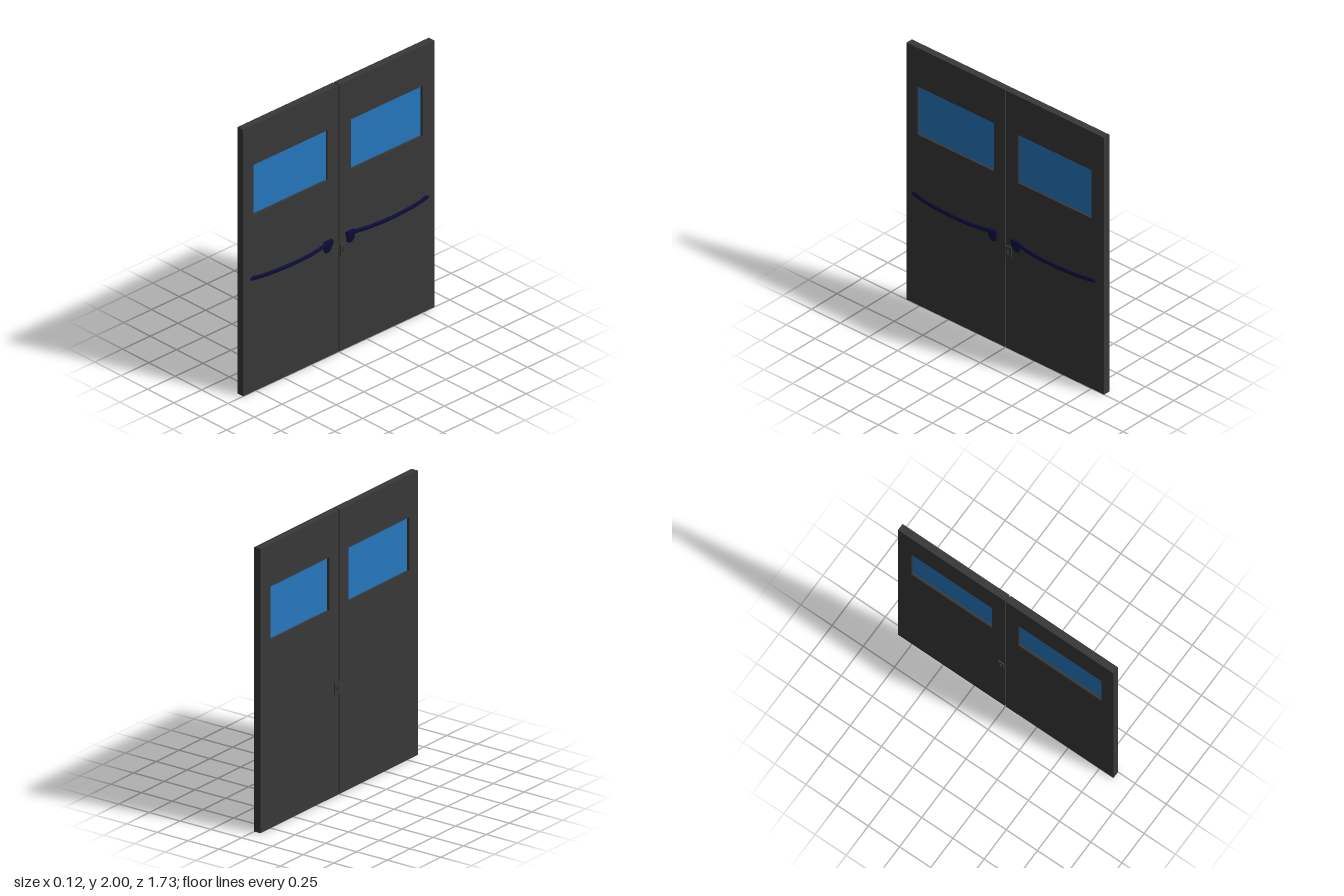
import * as THREE from 'three';

const doorMat = new THREE.MeshStandardMaterial({ color: 0x383838 });
doorMat.name = 'charcoal door';
const glassMat = new THREE.MeshStandardMaterial({ color: 0x2678bf });
glassMat.name = 'blue glass';
const handleMat = new THREE.MeshStandardMaterial({ color: 0x0c0c3c });
handleMat.name = 'navy handle';

const BACK = -0.052, THICK = 0.052;

// Rectangle outline in (-z, y)
function rect(Kind, z0, z1, y0, y1) {
  const p = new Kind();
  p.moveTo(-z1, y0);
  p.lineTo(-z0, y0);
  p.lineTo(-z0, y1);
  p.lineTo(-z1, y1);
  p.closePath();
  return p;
}

// Extrude a (-z, y) outline along +x
function slab(name, shape, x0, depth, mat) {
  const geo = new THREE.ExtrudeGeometry(shape, { depth, bevelEnabled: false, curveSegments: 10 });
  geo.rotateY(Math.PI / 2);
  geo.translate(x0, 0, 0);
  const mesh = new THREE.Mesh(geo, mat);
  mesh.name = name;
  return mesh;
}

// Door leaf with a recessed window
function leaf(name, z0, z1, w0, w1, extraHole) {
  const g = new THREE.Group();
  g.name = name;
  const shape = rect(THREE.Shape, z0, z1, 0, 2);
  shape.holes.push(rect(THREE.Path, w0, w1, 1.325, 1.7));
  if (extraHole) shape.holes.push(extraHole);
  g.add(slab('doorPanel', shape, BACK, THICK, doorMat));
  g.add(slab('windowGlass', rect(THREE.Shape, w0, w1, 1.325, 1.7), -0.035, 0.018, glassMat));
  return g;
}

// Bowed push bar on a tapering bracket
function pushHandle(name) {
  const g = new THREE.Group();
  g.name = name;
  const y = 0.859;

  const path = new THREE.CatmullRomCurve3([
    [0.012, 0.075], [0.017, 0.13], [0.034, 0.22], [0.045, 0.32], [0.049, 0.43],
    [0.045, 0.54], [0.036, 0.65], [0.022, 0.74], [0.01, 0.785]
  ].map(([x, z]) => new THREE.Vector3(x, 0, z)));
  const bar = new THREE.Mesh(new THREE.TubeGeometry(path, 48, 0.008, 14, false), handleMat);
  bar.scale.y = 1.9;
  bar.position.y = y;
  bar.name = 'pushBar';
  g.add(bar);

  // Rounded foot at the far end
  const foot = new THREE.Mesh(new THREE.SphereGeometry(1, 16, 12), handleMat);
  foot.scale.set(0.011, 0.0155, 0.03);
  foot.position.set(0.011, y, 0.775);
  foot.name = 'barFoot';
  g.add(foot);

  // Bracket: flat top, rounded bottom, thinner towards the bottom
  const s = new THREE.Shape();
  s.moveTo(-0.066, 0.875);
  s.lineTo(-0.134, 0.875);
  s.lineTo(-0.134, 0.815);
  s.quadraticCurveTo(-0.132, 0.782, -0.102, 0.782);
  s.quadraticCurveTo(-0.075, 0.782, -0.072, 0.815);
  s.lineTo(-0.07, 0.842);
  s.lineTo(-0.066, 0.846);
  s.closePath();
  const bracket = slab('handleBracket', s, 0, 1, handleMat);
  const pos = bracket.geometry.attributes.position;
  for (let i = 0; i < pos.count; i++) {
    const t = Math.min(1, (pos.getY(i) - 0.782) / 0.07);
    pos.setX(i, pos.getX(i) * (0.004 + 0.018 * t));
  }
  bracket.geometry.computeVertexNormals();
  g.add(bracket);
  return g;
}

// Lock case with a keyhole that goes right through
function lock() {
  const shape = rect(THREE.Shape, -0.056, -0.009, 0.715, 0.8);
  const cz = 0.03;
  const key = new THREE.Path();
  key.moveTo(cz - 0.009, 0.737);
  key.lineTo(cz + 0.009, 0.737);
  key.lineTo(cz + 0.004, 0.757);
  key.absarc(cz, 0.765, 0.009, -Math.PI * 0.35, Math.PI * 1.35, false);
  key.lineTo(cz - 0.004, 0.757);
  key.closePath();
  shape.holes.push(key);
  return slab('lockCase', shape, -0.062, 0.072, doorMat);
}

export function createModel() {
  const model = new THREE.Group();
  model.name = 'doubleDoor';

  model.add(leaf('leftLeaf', 0.004, 0.864, 0.102, 0.77));
  model.add(leaf('rightLeaf', -0.862, -0.005, -0.753, -0.108,
    rect(THREE.Path, -0.052, -0.013, 0.72, 0.795)));
  model.add(lock());

  const left = pushHandle('leftHandle');
  left.position.z = 0.004;
  const right = pushHandle('rightHandle');
  right.scale.z = -1;
  right.position.z = 0.004;
  model.add(left, right);
  return model;
}
